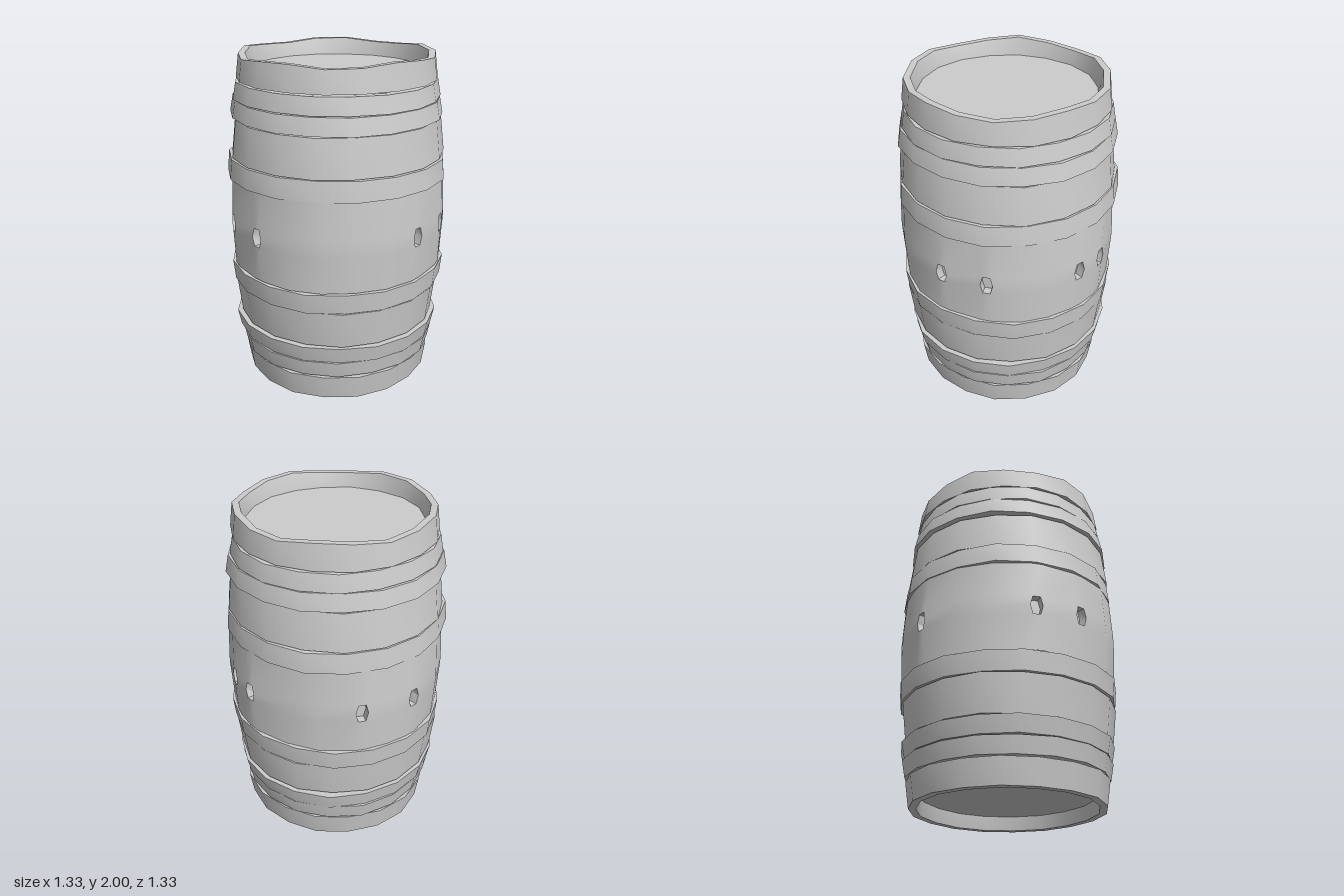
import * as THREE from 'three';
import { toCreasedNormals } from 'three/addons/utils/BufferGeometryUtils.js';

const SIDES = 18;
const grey = new THREE.MeshStandardMaterial({ color: 0xcccccc });
grey.name = 'weathered grey';

// slight hand-made unevenness around the barrel
const wobble = (a, seed) => 1 + 0.007 * Math.sin(3 * a + seed * 1.7) + 0.006 * Math.sin(7 * a + seed * 2.9);
const point = (r, y, a, seed) => {
  const k = r * wobble(a, seed);
  return [k * Math.sin(a), y, k * Math.cos(a)];
};

// turned ring from a closed profile of [radius, y]
function turned(name, profile, seed, rimLift = 0) {
  const pts = profile.map(([r, y]) => new THREE.Vector2(r, y));
  let geo = new THREE.LatheGeometry(pts, SIDES, seed * 0.37);
  const p = geo.attributes.position;
  for (let i = 0; i < p.count; i++) {
    const x = p.getX(i), z = p.getZ(i), a = Math.atan2(x, z);
    const k = wobble(a, seed);
    const lift = p.getY(i) > 1.95 ? rimLift * Math.sin(5 * a + 1) : 0;
    p.setXYZ(i, x * k, p.getY(i) + lift, z * k);
  }
  geo = toCreasedNormals(geo, 0.5);
  const mesh = new THREE.Mesh(geo, grey);
  mesh.name = name;
  return mesh;
}

// a band with an outer slope and a little thickness
function band(name, y0, y1, r0, r1, seed) {
  const t = 0.05;
  return turned(name, [[r0 - t, y0], [r0, y0], [r1, y1], [r1 - t, y1], [r0 - t, y0]], seed);
}

// wide middle band with small six-sided holes sunk into it
function middleBand() {
  const rows = [[0.648, 0.73], [0.66, 0.945], [0.662, 1], [0.66, 1.055], [0.648, 1.275]];
  const narrow = [1, 0.6, 1, 0.6, 1];
  const half = 0.055, seed = 4;
  const holes = [-29, -3.5, 86, 111, 160, 176.5, 238.5, 268].map(THREE.MathUtils.degToRad);

  // columns: both edges of every hole, plus filler columns between holes
  const cols = [];
  holes.forEach((h, i) => {
    const next = i + 1 < holes.length ? holes[i + 1] : holes[0] + Math.PI * 2;
    cols.push({ a: h, s: -1, hole: true }, { a: h, s: 1 });
    const gap = next - h - 2 * half, n = Math.ceil(gap / 0.36);
    for (let j = 1; j < n; j++) cols.push({ a: h + half + gap * j / n, s: 0 });
  });
  cols.push({ a: cols[0].a + Math.PI * 2, s: -1 });

  const v = [];
  const tri = (a, b, c) => v.push(...a, ...b, ...c);
  const quad = (a, b, c, d) => { tri(a, b, c); tri(a, c, d); };
  const at = (c, i, sink = 0) =>
    point(rows[i][0] - sink, rows[i][1], c.a + c.s * half * narrow[i], seed);

  for (let j = 0; j + 1 < cols.length; j++) {
    const c = cols[j], d = cols[j + 1];
    for (let i = 0; i < 4; i++) {
      if (c.hole && (i === 1 || i === 2)) continue;
      quad(at(c, i), at(d, i), at(d, i + 1), at(c, i + 1));
    }
    if (c.hole) {
      // pocket walls and floor
      const loop = [[c, 1], [d, 1], [d, 2], [d, 3], [c, 3], [c, 2]];
      const mid = point(0.61, 1, c.a, seed);
      loop.forEach(([e, i], k) => {
        const [f, m] = loop[(k + 1) % 6];
        quad(at(e, i), at(f, m), at(f, m, 0.05), at(e, i, 0.05));
        tri(at(e, i, 0.05), at(f, m, 0.05), mid);
      });
    }
  }
  const geo = new THREE.BufferGeometry();
  geo.setAttribute('position', new THREE.Float32BufferAttribute(v, 3));
  const mesh = new THREE.Mesh(toCreasedNormals(geo, 0.5), grey);
  mesh.name = 'middleBand';
  return mesh;
}

export function createModel() {
  const barrel = new THREE.Group();
  barrel.name = 'barrel';

  // bands mirrored above and below the middle: y0, y1, radius at y0 and y1
  const bands = [
    ['endHoop', 0.16, 0.26, 0.598, 0.617],
    ['quarterHoop', 0.265, 0.365, 0.618, 0.638],
    ['staveBand', 0.375, 0.6, 0.618, 0.645],
    ['bilgeHoop', 0.605, 0.725, 0.652, 0.664],
  ];
  bands.forEach(([name, y0, y1, r0, r1], i) => {
    barrel.add(band(name + 'Lower', y0, y1, r0, r1, i + 1));
    barrel.add(band(name + 'Upper', 2 - y1, 2 - y0, r1, r0, i + 6));
  });
  barrel.add(middleBand());

  // end rims, open to the recessed heads
  barrel.add(turned('bottomRim',
    [[0.53, 0], [0.575, 0], [0.598, 0.15], [0.51, 0.15], [0.515, 0.08], [0.53, 0]], 11));
  barrel.add(turned('topRim',
    [[0.51, 1.85], [0.598, 1.85], [0.58, 1.988], [0.54, 1.988], [0.515, 1.9], [0.51, 1.85]], 12, 0.012));

  // flat heads inside both ends
  for (const [name, y] of [['topHead', 1.88], ['bottomHead', 0.1]]) {
    const head = new THREE.Mesh(new THREE.CylinderGeometry(0.53, 0.53, 0.03, SIDES), grey);
    head.name = name;
    head.position.y = y;
    barrel.add(head);
  }
  return barrel;
}
